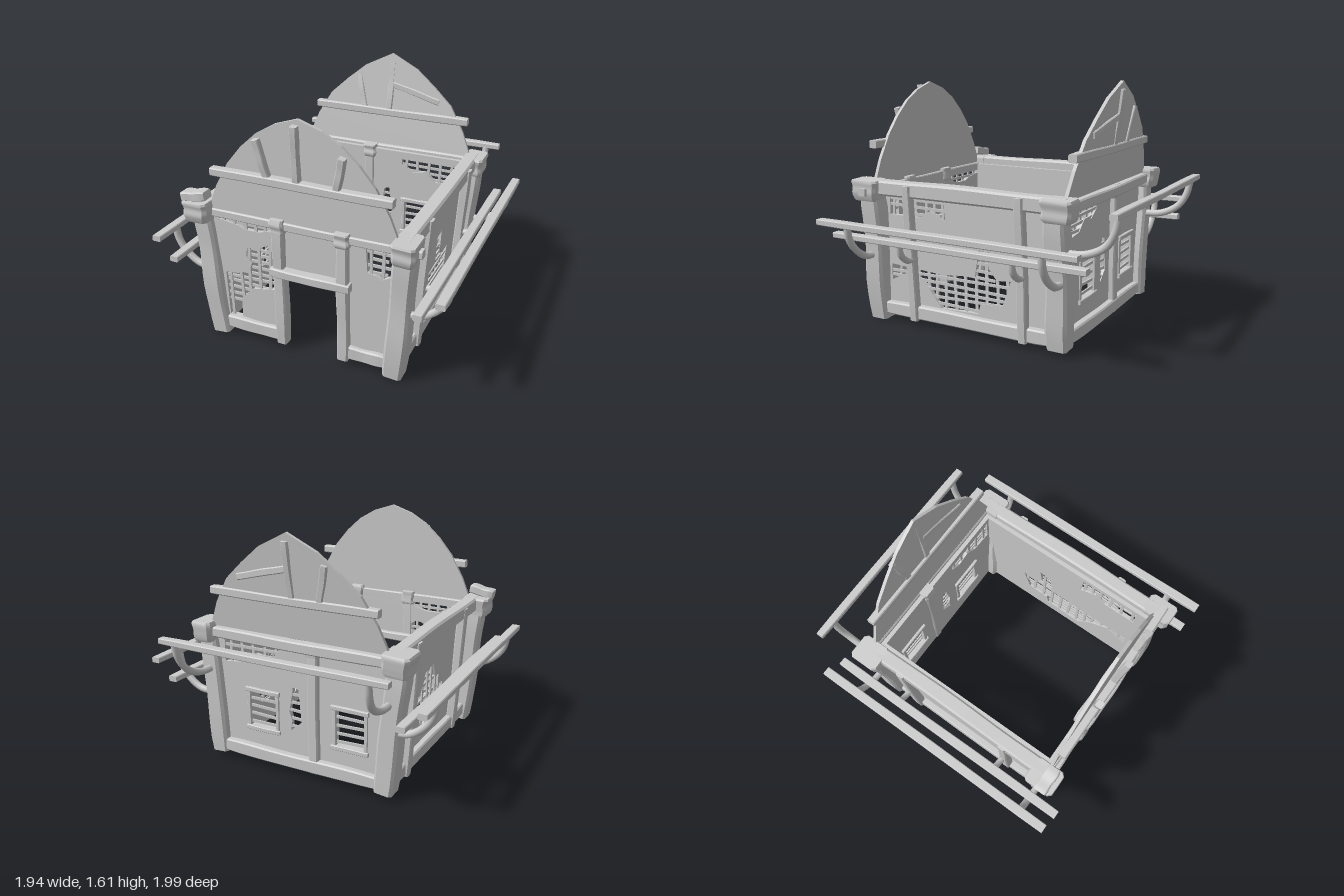
import * as THREE from 'three';
import { toCreasedNormals, mergeGeometries } from 'three/addons/utils/BufferGeometryUtils.js';

const wood = new THREE.MeshStandardMaterial({ color: 0xcccccc });
const plaster = new THREE.MeshStandardMaterial({ color: 0xcccccc, side: THREE.DoubleSide });
let seed = 7;
const rand = () => (seed = (seed * 16807) % 2147483647) / 2147483647;
const V = (p) => new THREE.Vector3(...p);
const poly = (pts, Type = THREE.Shape) => new Type(pts.map(([x, y]) => new THREE.Vector2(x, y)));

export function createModel() {
  const model = new THREE.Group();
  const add = (name, geo, mat = wood) => {
    const mesh = new THREE.Mesh(geo, mat);
    mesh.name = name;
    model.add(mesh);
    return mesh;
  };

  // Hand-hewn timber from a to b: chamfered section, slightly wavy, optional taper
  function beam(name, a, b, w, h, taper = 1, wave = 0.03) {
    const from = V(a), to = V(b), len = from.distanceTo(to);
    const c = Math.min(w, h) * 0.13, x = w / 2, y = h / 2;
    const section = poly([[-x + c, -y], [x - c, -y], [x, -y + c], [x, y - c],
      [x - c, y], [-x + c, y], [-x, y - c], [-x, -y + c]]);
    const geo = new THREE.ExtrudeGeometry(section, { depth: len, steps: 10, bevelEnabled: false });
    const p = geo.attributes.position, ph = rand() * 6, m = Math.min(w, h);
    for (let i = 0; i < p.count; i++) {
      const t = p.getZ(i) / len;
      const edge = t < 0.01 || t > 0.99 ? 0.93 : 1;
      const s = (1 + (taper - 1) * t) * edge * (1 + wave * Math.sin(t * 11 + ph));
      p.setXY(i, p.getX(i) * s + m * wave * Math.sin(t * 7 + ph * 2), p.getY(i) * s + m * wave * Math.cos(t * 8 + ph));
    }
    const mesh = add(name, toCreasedNormals(geo, 0.6));
    mesh.position.copy(from);
    if (Math.abs(to.y - from.y) > 0.8 * len) mesh.up.set(0, 0, 1);
    mesh.lookAt(to);
  }

  // Plaster panel with broken holes; crossed laths run inside its thickness
  function wall(name, outline, holes, place) {
    const group = new THREE.Group();
    group.name = name;
    const shape = poly(outline), laths = [];
    const strip = (u, v, w, h, z, tilt) => laths.push(
      new THREE.BoxGeometry(w, h, 0.01).rotateZ(tilt).translate(u, v, z));
    for (const { pts, slats } of holes) {
      shape.holes.push(poly(pts, THREE.Path));
      const box = new THREE.Box2().setFromPoints(pts.map(([x, y]) => new THREE.Vector2(x, y)));
      const s = box.getSize(new THREE.Vector2()), c = box.getCenter(new THREE.Vector2());
      for (let v = box.min.y + 0.03; v < box.max.y; v += slats ? 0.055 : 0.045) {
        const broken = !slats && rand() < 0.3 ? 0.6 : 1;
        strip(c.x + (1 - broken) * s.x * (rand() - 0.5), v, s.x * broken, 0.018, 0.01, (rand() - 0.5) * 0.1);
      }
      if (!slats) for (let u = box.min.x + 0.03; u < box.max.x; u += 0.06 + rand() * 0.03)
        strip(u, c.y, 0.02, s.y, 0.02, (rand() - 0.5) * 0.12);
    }
    const panel = new THREE.Mesh(new THREE.ExtrudeGeometry(shape, { depth: 0.03, bevelEnabled: false }), plaster);
    panel.name = name + 'Plaster';
    const lattice = new THREE.Mesh(mergeGeometries(laths), wood);
    lattice.name = name + 'Laths';
    group.add(panel, lattice);
    place(group);
    model.add(group);
  }
  const rect = (x0, y0, x1, y1) => [[x0, y0], [x1, y0], [x1, y1], [x0, y1]];

  // Walls
  wall('frontWall', [[-0.62, 0.05], [-0.13, 0.05], [-0.13, 0.56], [0.26, 0.56], [0.26, 0.05], [0.62, 0.05], [0.62, 0.9], [-0.62, 0.9]], [
    { pts: [[-0.55, 0.13], [-0.46, 0.13], [-0.45, 0.28], [-0.36, 0.37], [-0.2, 0.4], [-0.19, 0.68], [-0.24, 0.71], [-0.3, 0.68], [-0.39, 0.66], [-0.4, 0.6], [-0.36, 0.56], [-0.38, 0.5], [-0.47, 0.46], [-0.56, 0.45]] },
    { pts: [[0.43, 0.68], [0.48, 0.67], [0.52, 0.65], [0.6, 0.69], [0.6, 0.84], [0.42, 0.84]] },
    { pts: [[-0.58, 0.83], [-0.45, 0.81], [-0.4, 0.79], [-0.3, 0.79], [-0.2, 0.82], [-0.2, 0.85], [-0.58, 0.85]] },
  ], (g) => g.position.set(0, 0, 0.755));
  wall('backWall', rect(-0.62, 0.05, 0.62, 0.9), [
    { pts: rect(0.16, 0.26, 0.38, 0.51), slats: true },
    { pts: rect(-0.48, 0.26, -0.26, 0.51), slats: true },
    { pts: [[-0.02, 0.36], [0.06, 0.29], [0.05, 0.36], [0.07, 0.42], [0.05, 0.53], [0.04, 0.6], [0.0, 0.58], [-0.01, 0.46]], slats: true },
    { pts: [[0.14, 0.8], [0.22, 0.75], [0.32, 0.77], [0.4, 0.7], [0.56, 0.68], [0.56, 0.85], [0.14, 0.85]] },
  ], (g) => g.position.set(0, 0, -0.6));
  const side = rect(-0.6, 0.05, 0.77, 0.9);
  wall('leftWall', side, [
    { pts: [[0.68, 0.86], [0.25, 0.86], [0.24, 0.71], [0.3, 0.74], [0.36, 0.77], [0.44, 0.72], [0.68, 0.72]] },
    { pts: [[0.68, 0.38], [0.3, 0.36], [0.02, 0.38], [-0.01, 0.56], [-0.1, 0.57], [-0.08, 0.45], [-0.14, 0.38], [-0.24, 0.39], [-0.18, 0.22], [-0.02, 0.21], [0.0, 0.14], [0.28, 0.13], [0.38, 0.25], [0.52, 0.35], [0.68, 0.27]] },
  ], (g) => { g.rotation.y = -Math.PI / 2; g.position.x = 0.61; });
  wall('rightWall', side, [
    { pts: [[-0.2, 0.34], [-0.08, 0.3], [-0.04, 0.22], [0.1, 0.26], [0.2, 0.2], [0.34, 0.24], [0.36, 0.4], [0.3, 0.5], [0.2, 0.52], [0.16, 0.62], [0.02, 0.6], [-0.06, 0.48], [-0.18, 0.46]] },
    { pts: [[0.54, 0.5], [0.6, 0.47], [0.66, 0.52], [0.64, 0.6], [0.55, 0.58]] },
  ], (g) => { g.rotation.y = -Math.PI / 2; g.position.x = -0.58; });

  // Window boards on the back wall
  for (const [x0, x1] of [[0.14, 0.4], [-0.5, -0.24]]) {
    for (const y of [0.25, 0.52]) beam('windowBoard', [x0, y, -0.585], [x1, y, -0.585], 0.07, 0.03);
    for (const x of [x0 + 0.02, x1 - 0.02]) beam('windowJamb', [x, 0.25, -0.585], [x, 0.52, -0.585], 0.025, 0.05);
  }

  // Corner posts lean outward and carry flared caps; the right-hand caps are wider
  for (const [s, z] of [[-1, 0.77], [1, 0.77], [-1, -0.585], [1, -0.585]]) {
    const x = s < 0 ? -0.69 : 0.67, capZ = z > 0 ? 0.795 : -0.605;
    beam('cornerPost', [s * 0.61, z > 0 ? 0 : 0.03, z], [x, 0.86, z], 0.135, 0.145, 0.95);
    beam('postCap', [x + s * 0.005, 0.82, capZ], [x + s * 0.01, 0.955, capZ], s < 0 ? 0.16 : 0.135, 0.185, 1.12, 0.02);
  }
  beam('postTopBlock', [-0.8, 0.97, 0.82], [-0.63, 1.0, 0.82], 0.09, 0.06);

  // Side framing: top beam, sill and studs lapped over the beam
  for (const s of [-1, 1]) {
    beam('sideTopBeam', [s * 0.66, 0.91, -0.65], [s * 0.66, 0.91, 0.8], 0.1, 0.1);
    beam('sideSill', [s * 0.62, 0.08, -0.56], [s * 0.62, 0.08, 0.72], 0.07, 0.09);
    for (const z of [0.47, -0.35]) beam('sideStud', [s * 0.64, 0.03, z], [s * 0.695, 0.94, z], 0.06, 0.06);
  }

  // Front framing with door posts and lintel
  beam('frontTopBeam', [-0.78, 0.88, 0.785], [0.77, 0.88, 0.785], 0.06, 0.055);
  for (const [x0, x1] of [[-0.56, -0.15], [0.28, 0.56]])
    beam('frontSill', [x0, 0.085, 0.78], [x1, 0.085, 0.78], 0.07, 0.09);
  for (const x of [-0.15, 0.28]) {
    beam('doorPost', [x, 0.03, 0.79], [x, 0.86, 0.79], 0.075, 0.08);
    beam('doorPostCap', [x, 0.83, 0.79], [x, 0.925, 0.79], 0.095, 0.1);
  }
  beam('doorLintel', [-0.2, 0.56, 0.78], [0.33, 0.56, 0.78], 0.13, 0.06);

  // Back framing
  beam('backTopBeam', [-0.62, 0.89, -0.635], [0.62, 0.89, -0.635], 0.07, 0.07);
  beam('backSill', [-0.56, 0.085, -0.61], [0.56, 0.085, -0.61], 0.07, 0.09);
  beam('backPost', [-0.12, 0.04, -0.6], [-0.12, 0.87, -0.6], 0.07, 0.08);
  beam('backPostCap', [-0.12, 0.83, -0.6], [-0.12, 0.925, -0.6], 0.095, 0.1);

  // Arched gable boards: smooth in front, more angular and tilted at the back
  function gable(name, half, z, tilt) {
    const outline = [...half, ...half.slice(0, -1).reverse().map(([x, y]) => [-x, y])];
    const mesh = add(name, new THREE.ExtrudeGeometry(poly(outline), { depth: 0.022, bevelEnabled: false }), plaster);
    mesh.position.set(0, 0.9, z);
    mesh.rotation.x = tilt;
  }
  gable('frontGable', [[0.64, 0], [0.57, 0.17], [0.48, 0.33], [0.38, 0.45], [0.27, 0.55], [0.15, 0.62], [0, 0.67]], 0.78, -0.01);
  gable('backGable', [[0.64, 0.03], [0.57, 0.2], [0.47, 0.37], [0.34, 0.49], [0.2, 0.605], [0, 0.705]], -0.625, -0.12);

  // Gable cross beams with short studs, and a slanting brace at the back
  for (const [s, z, lean] of [['front', 0.82, 0.03], ['back', -0.645, -0.055]]) {
    beam(s + 'GableBeam', [-0.58, 1.175, z], [0.6, 1.175, z], 0.06, 0.055);
    const stud = (x0, y0, x1, y1) => beam(s + 'GableStud',
      [x0, y0, z + lean * (y0 - 1.17) / 0.35], [x1, y1, z + lean * (y1 - 1.17) / 0.35], 0.045, 0.045);
    stud(-0.19, 1.17, -0.25, 1.43);
    stud(0, 1.17, 0.01, 1.55);
    if (s === 'front') stud(0.25, 1.17, 0.3, 1.4);
    else stud(0.02, 1.38, 0.38, 1.29);
  }

  // Curved brackets carrying the eave rails
  const bracket = (pts, r) => add('railBracket',
    new THREE.TubeGeometry(new THREE.CatmullRomCurve3(pts.map(V)), 14, r, 8));
  for (const s of [-1, 1]) {
    for (const z of [0.77, -0.62])
      bracket([[s * 0.66, 0.45, z], [s * 0.77, 0.46, z], [s * 0.87, 0.53, z], [s * 0.92, 0.61, z], [s * 0.935, 0.7, z]], 0.024);
    for (const z of [0.46, -0.36])
      bracket([[s * 0.64, 0.45, z], [s * 0.73, 0.46, z], [s * 0.79, 0.51, z], [s * 0.81, 0.59, z]], 0.022);
    const front = s > 0 ? 0.995 : 0.97;
    beam('outerRail', [s * 0.94, 0.7, -0.85], [s * 0.94, 0.7, front], 0.062, 0.04);
    beam('innerRail', [s * 0.81, 0.59, -0.845], [s * 0.81, 0.59, 0.985], 0.062, 0.04);
    bracket([[s * 0.65, 0.63, -0.63], [s * 0.65, 0.64, -0.76], [s * 0.655, 0.7, -0.88], [s * 0.665, 0.79, -0.94], [s * 0.67, 0.9, -0.965]], 0.024);
  }
  beam('backRail', [-0.8, 0.9, -0.97], [0.77, 0.9, -0.97], 0.055, 0.04);

  return model;
}
